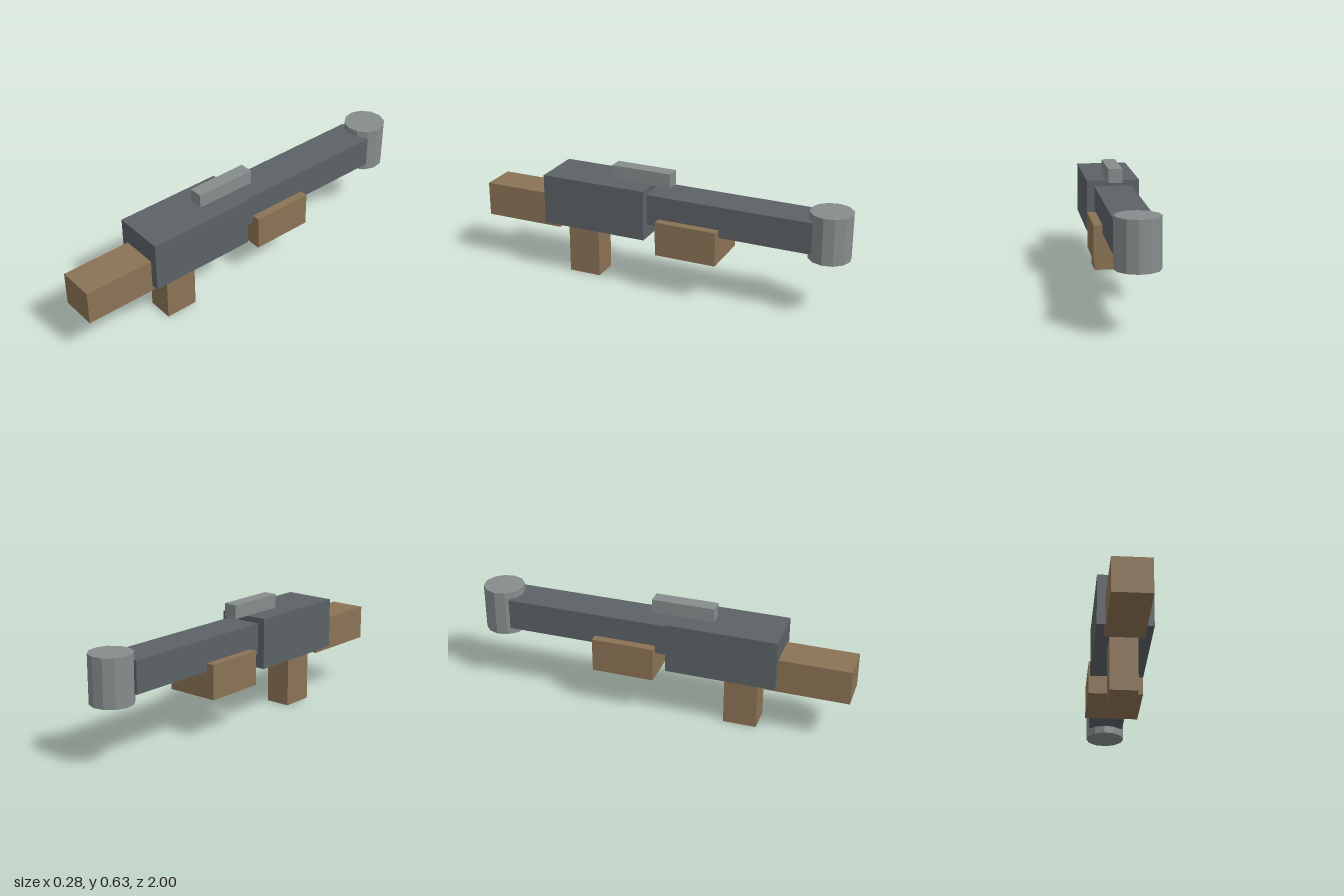
import * as THREE from 'three';

export function createModel() {
  const wood = new THREE.MeshStandardMaterial({ name: 'wood brown', color: 0x8b7355 });
  const dark = new THREE.MeshStandardMaterial({ name: 'dark metal', color: 0x5c6266 });
  const light = new THREE.MeshStandardMaterial({ name: 'light metal', color: 0x868c8c });
  light.flatShading = true;

  const model = new THREE.Group();
  model.name = 'blockyLauncher';

  // Box centred on x, given by its width and its y and z limits
  function block(name, material, width, y0, y1, z0, z1) {
    const mesh = new THREE.Mesh(new THREE.BoxGeometry(width, y1 - y0, z1 - z0), material);
    mesh.name = name;
    mesh.position.set(0, (y0 + y1) / 2, (z0 + z1) / 2);
    model.add(mesh);
  }

  block('stock', wood, 0.192, 0.256, 0.438, 0.565, 1);
  block('receiver', dark, 0.274, 0.288, 0.555, 0.055, 0.63);
  block('grip', wood, 0.138, 0, 0.295, 0.35, 0.525);
  block('barrel', dark, 0.196, 0.36, 0.525, -0.825, 0.06);
  block('foregrip', wood, 0.284, 0.22, 0.402, -0.342, -0.012);
  block('sight', light, 0.073, 0.558, 0.631, -0.05, 0.278);

  // Upright drum at the end of the barrel
  const drum = new THREE.Mesh(new THREE.CylinderGeometry(0.109, 0.109, 0.244, 12), light);
  drum.name = 'muzzleDrum';
  drum.position.set(0, 0.44, -0.891);
  drum.rotation.y = -0.09;
  model.add(drum);

  return model;
}
